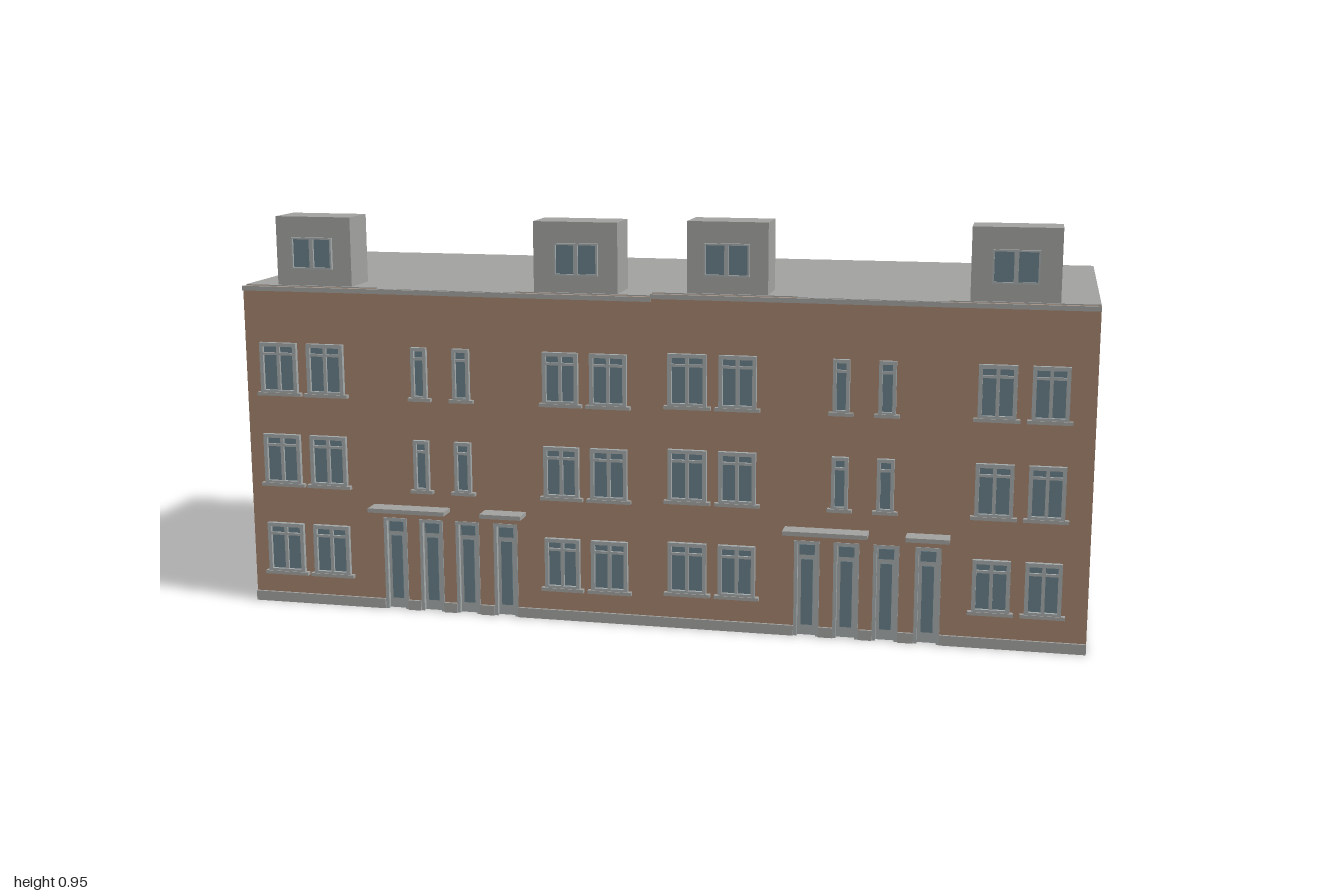
import * as THREE from 'three';

const mat = (name, color) => new THREE.MeshStandardMaterial({ name, color });

export function createModel() {
  const root = new THREE.Group();
  root.name = 'terraceBuilding';
  const brick = mat('brick', 0xa1826b);
  const concrete = mat('concrete', 0xa1a19f);
  const frameMat = mat('frameGrey', 0xa3a8a8);
  const glass = mat('glass', 0x667d86);

  // Box given by its limits on each axis
  function block(parent, name, m, x0, x1, y0, y1, z0, z1) {
    const mesh = new THREE.Mesh(new THREE.BoxGeometry(x1 - x0, y1 - y0, z1 - z0), m);
    mesh.position.set((x0 + x1) / 2, (y0 + y1) / 2, (z0 + z1) / 2);
    mesh.name = name;
    parent.add(mesh);
    return mesh;
  }

  function group(parent, name) {
    const g = new THREE.Group();
    g.name = name;
    parent.add(g);
    return g;
  }

  // Rectangular frame with a glass pane behind it
  function framedPane(g, x0, x1, y0, y1, z, depth, t) {
    block(g, 'pane', glass, x0 + t, x1 - t, y0 + t, y1 - t, z, z + 0.003);
    block(g, 'jambLeft', frameMat, x0, x0 + t, y0, y1, z, z + depth);
    block(g, 'jambRight', frameMat, x1 - t, x1, y0, y1, z, z + depth);
    block(g, 'head', frameMat, x0 + t, x1 - t, y1 - t, y1, z, z + depth);
    block(g, 'bottomRail', frameMat, x0 + t, x1 - t, y0, y0 + t, z, z + depth);
  }

  // Front window with transom, optional mullion and a projecting sill
  function frontWindow(parent, x0, x1, y0, y1, wide) {
    const g = group(parent, 'frontWindow');
    const t = wide ? 0.009 : 0.008, z = 0.36, mid = (x0 + x1) / 2;
    framedPane(g, x0, x1, y0, y1, z, 0.011, t);
    const ty = y1 - 0.03;
    block(g, 'transom', frameMat, x0 + t, x1 - t, ty, ty + 0.006, z, z + 0.009);
    if (wide) block(g, 'mullion', frameMat, mid - 0.004, mid + 0.004, y0 + t, y1 - t, z, z + 0.009);
    block(g, 'sill', concrete, x0 - 0.009, x1 + 0.009, y0 - 0.005, y0 + 0.003, z, z + 0.013);
  }

  const doorTop = 0.228, recess = 0.345, front = 0.36, back = -0.402;

  function house(side, x0, x1, top, d) {
    const h = group(root, side + 'House');

    // Main volume and roof
    block(h, 'walls', brick, x0, x1, 0, top - 0.003, back, recess);
    block(h, 'roof', concrete, x0, x1, top - 0.003, top, back, 0.342);

    // Front wall with door openings
    const s = new THREE.Shape();
    s.moveTo(x0, 0);
    for (const [a, b] of d.doors) {
      s.lineTo(a, 0);
      s.lineTo(a, doorTop);
      s.lineTo(b, doorTop);
      s.lineTo(b, 0);
    }
    s.lineTo(x1, 0);
    s.lineTo(x1, top - 0.002);
    s.lineTo(x0, top - 0.002);
    const facade = new THREE.Mesh(
      new THREE.ExtrudeGeometry(s, { depth: front - recess, bevelEnabled: false }), brick);
    facade.position.z = recess;
    facade.name = 'frontWall';
    h.add(facade);
    const firstDoor = d.doors[0][0], lastDoor = d.doors[3][1];
    block(h, 'entranceRoofEdge', concrete, firstDoor, lastDoor, top - 0.003, top, 0.342, front);
    block(h, 'gutter', concrete, x0, x1, top - 0.012, top - 0.001, front, 0.366);

    // Plinth between the doors
    let px = x0;
    for (const [a, b] of [...d.doors, [x1, x1]]) {
      block(h, 'plinth', concrete, px, a, 0, 0.024, front, 0.366);
      px = b;
    }

    // Recessed glazed doors with a light above
    for (const [a, b] of d.doors) {
      const g = group(h, 'frontDoor');
      block(g, 'doorLeaf', frameMat, a, b, 0, doorTop, recess, recess + 0.006);
      block(g, 'doorGlass', glass, a + 0.016, b - 0.016, 0.025, 0.182, recess + 0.006, recess + 0.009);
      block(g, 'topLight', glass, a + 0.012, b - 0.012, 0.193, 0.217, recess + 0.006, recess + 0.009);
      for (const [j0, j1] of [[a, a + 0.008], [b - 0.008, b]])
        block(g, 'doorJamb', frameMat, j0, j1, 0, doorTop, recess + 0.006, front + 0.002);
      block(g, 'doorHead', frameMat, a, b, doorTop - 0.007, doorTop, recess + 0.006, front + 0.002);
    }

    // Entrance canopies
    for (const [a, b] of d.canopies) block(h, 'canopy', concrete, a, b, 0.25, 0.26, front, 0.405);

    // Front windows, three storeys; narrow ones on the upper two
    [0.077, 0.299, 0.523].forEach((y, floor) => {
      const y0 = y + d.lift;
      for (const [a, b] of d.wide) frontWindow(h, a, b, y0, y0 + 0.124, true);
      if (floor > 0) for (const [a, b] of d.narrow) frontWindow(h, a, b, y0, y0 + 0.124, false);
    });

    // Rear windows
    for (const x of d.rear) for (const y of [0.062, 0.304, 0.548]) {
      const g = group(h, 'rearWindow');
      const y0 = y + d.lift, y1 = y0 + 0.148, a = x - d.rearHalf, b = x + d.rearHalf, t = 0.007;
      block(g, 'rearFrame', frameMat, a, b, y0, y1, back - 0.002, back);
      block(g, 'rearPane', glass, a + t, b - t, y0 + t, y1 - t, back - 0.003, back - 0.002);
    }

    // Roof dormers with twin panes
    for (const [a, b, w0, w1] of d.dormers) {
      const g = group(h, 'dormer');
      block(g, 'dormerBody', concrete, a, b, top, top + 0.164, 0.235, 0.336);
      const y0 = top + 0.04, y1 = top + 0.115, m = (w0 + w1) / 2;
      framedPane(g, w0, w1, y0, y1, 0.336, 0.009, 0.004);
      block(g, 'dormerMullion', frameMat, m - 0.005, m + 0.005, y0, y1, 0.336, 0.345);
    }
  }

  house('right', -1, 0, 0.783, {
    lift: 0,
    doors: [[-0.663, -0.604], [-0.572, -0.513], [-0.481, -0.422], [-0.386, -0.327]],
    canopies: [[-0.685, -0.494], [-0.406, -0.305]],
    wide: [[-0.961, -0.868], [-0.842, -0.75], [-0.257, -0.172], [-0.144, -0.056]],
    narrow: [[-0.579, -0.541], [-0.477, -0.436]],
    rear: [-0.79, -0.61, -0.43, -0.25, -0.072],
    rearHalf: 0.042,
    dormers: [[-0.92, -0.733, -0.88, -0.779], [-0.283, -0.083, -0.232, -0.129]],
  });
  house('left', 0, 1, 0.79, {
    lift: 0.007,
    doors: [[0.337, 0.396], [0.428, 0.487], [0.519, 0.578], [0.614, 0.673]],
    canopies: [[0.315, 0.508], [0.594, 0.692]],
    wide: [[0.041, 0.132], [0.16, 0.247], [0.743, 0.828], [0.86, 0.942]],
    narrow: [[0.421, 0.459], [0.524, 0.563]],
    rear: [0.072, 0.283, 0.502, 0.715, 0.926],
    rearHalf: 0.045,
    dormers: [[0.08, 0.267, 0.12, 0.225], [0.718, 0.914, 0.764, 0.867]],
  });
  return root;
}
